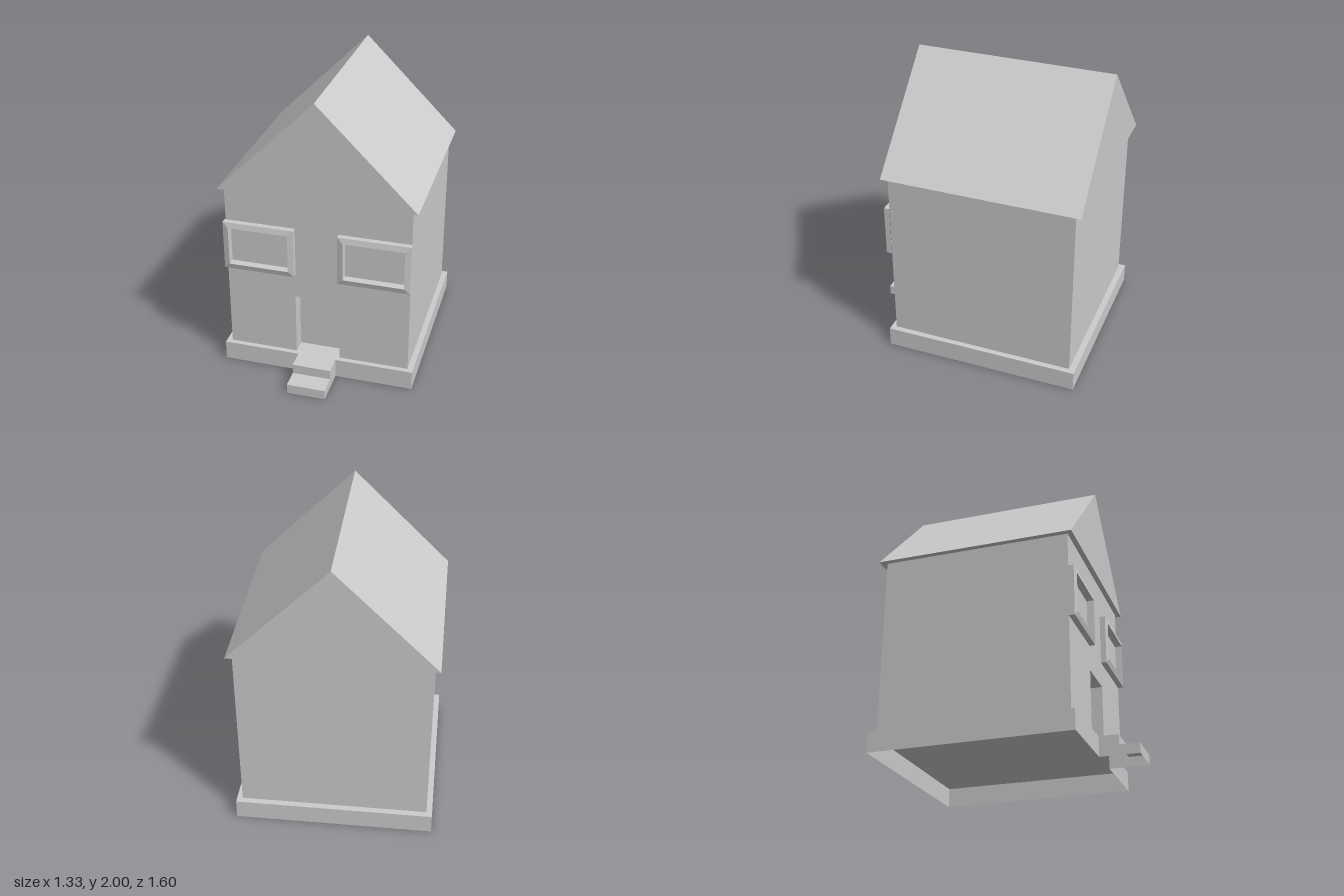
import * as THREE from 'three';

const grey = new THREE.MeshStandardMaterial({ color: 0xcccccc, flatShading: true });
const greyThin = new THREE.MeshStandardMaterial({ color: 0xcccccc, flatShading: true, side: THREE.DoubleSide });

function add(group, name, geometry, material = grey) {
  const mesh = new THREE.Mesh(geometry, material);
  mesh.name = name;
  group.add(mesh);
  return mesh;
}

const shapeOf = (points) => new THREE.Shape(points.map(([x, y]) => new THREE.Vector2(x, y)));

// Extrude a front-view outline from z0 to z1
function prism(points, z0, z1) {
  return new THREE.ExtrudeGeometry(shapeOf(points), { depth: z1 - z0, bevelEnabled: false }).translate(0, 0, z0);
}

// Flat-shaded geometry from quads, each with corners counter-clockwise
function quads(list) {
  const pos = list.flatMap(([a, b, c, d]) => [a, b, c, a, c, d]).flat();
  const geometry = new THREE.BufferGeometry();
  geometry.setAttribute('position', new THREE.Float32BufferAttribute(pos, 3));
  geometry.computeVertexNormals();
  return geometry;
}

// Upright walls along a plan path of [x, z] points
function skirt(path, y0, y1) {
  return quads(path.slice(1).map(([bx, bz], i) => {
    const [ax, az] = path[i];
    return [[ax, y0, az], [bx, y0, bz], [bx, y1, bz], [ax, y1, az]];
  }));
}

// Horizontal cover over a plan path
function cover(path, y) {
  return new THREE.ShapeGeometry(shapeOf(path.map(([x, z]) => [x, -z]))).rotateX(-Math.PI / 2).translate(0, y, 0);
}

// Frame joining rectangular loops: outer side, sloped front, inner reveal
function windowFrame(width, height, z) {
  const loops = [[0, 0], [0, 0.038], [0.038, 0.048], [0.042, 0]].map(([inset, out]) => {
    const w = width / 2 - inset, h = height / 2 - inset;
    return [[-w, -h, z + out], [w, -h, z + out], [w, h, z + out], [-w, h, z + out]];
  });
  const faces = [];
  for (let l = 0; l < 3; l++) {
    for (let i = 0; i < 4; i++) {
      const j = (i + 1) % 4;
      faces.push([loops[l][i], loops[l][j], loops[l + 1][j], loops[l + 1][i]]);
    }
  }
  return quads(faces);
}

export function createModel() {
  const house = new THREE.Group();
  house.name = 'house';

  const baseTop = 0.135, stepTop = 0.067, eaves = 1.335;
  const wallX = 0.627, wallFront = 0.505, wallBack = -0.755, doorZ = 0.405;
  const baseX = 0.665, baseFront = 0.54, baseBack = -0.797;
  const stepX = 0.132, stepMid = 0.67, stepFront = 0.803;

  // Hollow foundation, open below, joined to the upper step
  const foundation = new THREE.Group();
  foundation.name = 'foundation';
  house.add(foundation);
  const plan = [
    [stepX, stepMid], [stepX, baseFront], [baseX, baseFront], [baseX, baseBack],
    [-baseX, baseBack], [-baseX, baseFront], [-stepX, baseFront], [-stepX, stepMid],
  ];
  add(foundation, 'foundationWalls', skirt(plan, 0, baseTop), greyThin);
  add(foundation, 'foundationTop', cover(plan, baseTop), greyThin);

  // Lower step, also hollow
  const steps = new THREE.Group();
  steps.name = 'steps';
  house.add(steps);
  const tread = [[-stepX, stepMid], [-stepX, stepFront], [stepX, stepFront], [stepX, stepMid]];
  add(steps, 'upperRiser', skirt([tread[0], tread[3]], stepTop, baseTop), greyThin);
  add(steps, 'lowerStepSides', skirt(tread, 0, stepTop), greyThin);
  add(steps, 'lowerTread', cover(tread, stepTop), greyThin);

  // Body, with a front layer notched for the recessed door
  const depth = doorZ - wallBack, height = eaves - baseTop;
  add(house, 'body', new THREE.BoxGeometry(wallX * 2, height, depth))
    .position.set(0, baseTop + height / 2, (doorZ + wallBack) / 2);
  add(house, 'frontWall', prism([
    [-wallX, baseTop], [-0.155, baseTop], [-0.155, 0.58], [0.15, 0.58],
    [0.15, baseTop], [wallX, baseTop], [wallX, eaves], [-wallX, eaves],
  ], doorZ, wallFront));

  // Gable roof
  add(house, 'roof', prism([[-baseX, eaves], [baseX, eaves], [0, 2]], baseBack, baseFront));

  // Windows
  for (const [name, x] of [['rightWindowFrame', -0.393], ['leftWindowFrame', 0.388]]) {
    add(house, name, windowFrame(0.484, 0.346, wallFront)).position.set(x, 0.927, 0);
  }

  return house;
}
